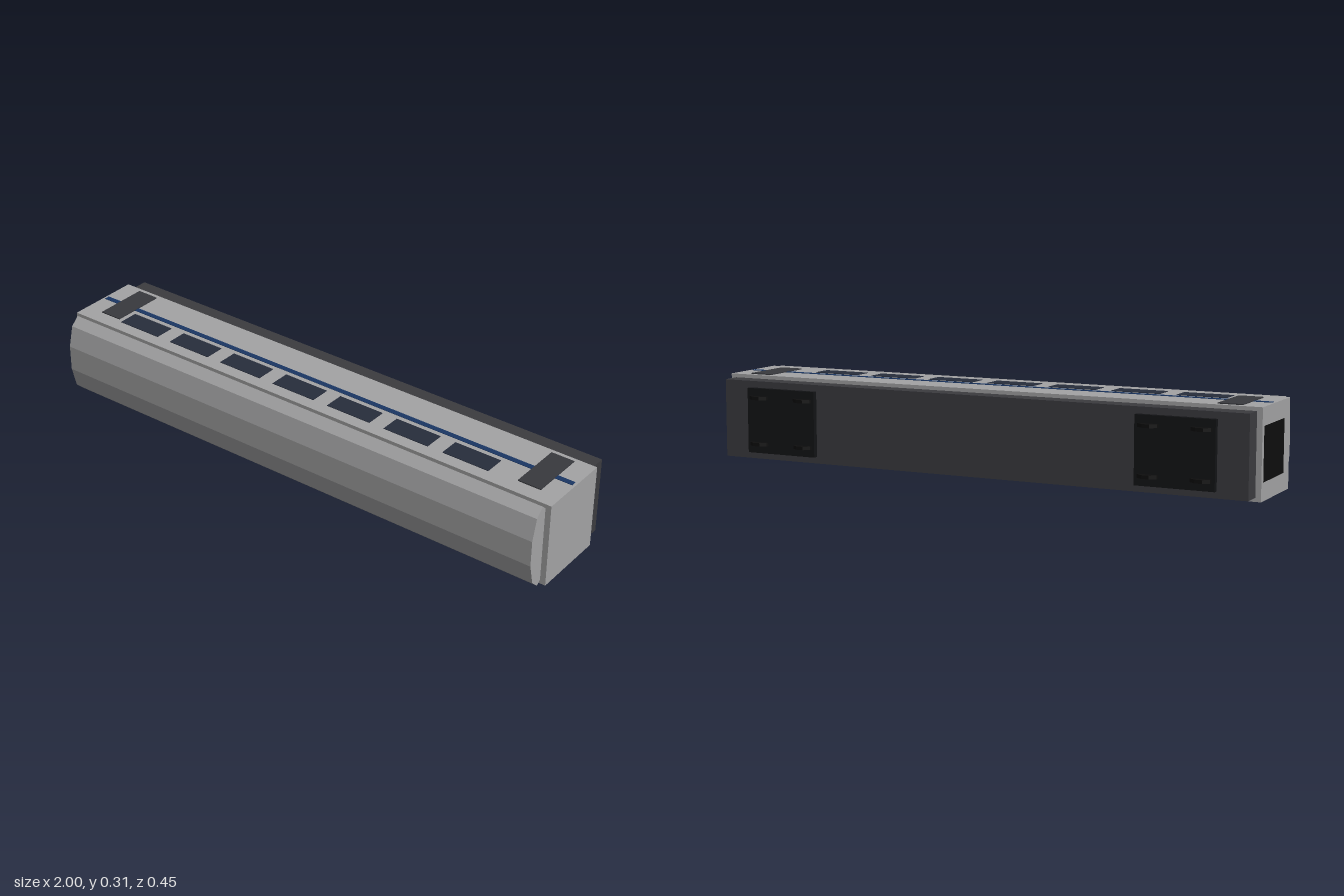
import * as THREE from 'three';

const CY = 0.1545; // height of the car's centre line; the car lies on its side, roof towards +z

const mat = (color) => new THREE.MeshStandardMaterial({ color, flatShading: true });

export function createModel() {
  const car = new THREE.Group();
  car.name = 'passengerCar';

  const shell = mat(0xa3a3a4);
  const frame = mat(0x3b3b3f);
  const bogie = mat(0x131416);
  const black = mat(0x0e0e0e);
  const glass = mat(0x272d3b);
  const doorGrey = mat(0x38393e);
  const blue = mat(0x1a3663);

  // Box given by its x, y and z ranges, y measured from the centre line
  function box(name, material, [x0, x1], [y0, y1], [z0, z1], parent = car) {
    const mesh = new THREE.Mesh(new THREE.BoxGeometry(x1 - x0, y1 - y0, z1 - z0), material);
    mesh.position.set((x0 + x1) / 2, CY + (y0 + y1) / 2, (z0 + z1) / 2);
    mesh.name = name;
    parent.add(mesh);
  }

  // Body and underframe
  box('body', shell, [-0.999, 1], [-0.151, 0.151], [-0.116, 0.157]);
  box('underframe', frame, [-0.98, 0.98], [-0.138, 0.138], [-0.182, -0.11]);

  // Flattened ten-sided roof, with a flat facet facing +z
  const roofGeometry = new THREE.CylinderGeometry(0.151, 0.151, 1.96, 10);
  roofGeometry.rotateZ(Math.PI / 2);
  roofGeometry.rotateX(Math.PI / 2);
  roofGeometry.scale(1, 1, 0.35);
  const roof = new THREE.Mesh(roofGeometry, shell);
  roof.position.set(0, CY, 0.173);
  roof.name = 'roof';
  car.add(roof);

  // Windows, doors and stripe on both long sides
  for (const side of [-1, 1]) {
    const range = (out) => (side > 0 ? [0.14, out] : [-out, -0.14]);
    const group = new THREE.Group();
    group.name = side > 0 ? 'upperSideDetails' : 'lowerSideDetails';
    car.add(group);
    for (let i = 0; i < 7; i++) {
      const x = -0.737 + i * 0.2317;
      box('window', glass, [x - 0.087, x + 0.087], range(0.1528), [0.038, 0.112], group);
    }
    for (const x of [-0.885, 0.885]) {
      box('door', doorGrey, [x - 0.042, x + 0.042], range(0.1545), [-0.098, 0.101], group);
    }
    box('stripe', blue, [-0.99, 0.99], range(0.1524), [-0.001, 0.019], group);
  }

  // Gangway panel on the left-hand end of the car
  box('gangway', black, [-1, -0.98], [-0.09, 0.09], [-0.098, 0.1]);

  // Bogies with four wheels each
  const wheelGeometry = new THREE.CylinderGeometry(0.042, 0.042, 0.012, 10);
  wheelGeometry.rotateY(Math.PI / 10);
  for (const x of [-0.738, 0.738]) {
    const group = new THREE.Group();
    group.name = 'bogie';
    car.add(group);
    box('bogieFrame', bogie, [x - 0.137, x + 0.137], [-0.115, 0.115], [-0.2, -0.17], group);
    for (const dx of [-0.09, 0.09]) {
      for (const dy of [-0.082, 0.082]) {
        const wheel = new THREE.Mesh(wheelGeometry, black);
        wheel.position.set(x + dx, CY + dy, -0.182);
        wheel.name = 'wheel';
        group.add(wheel);
      }
    }
  }

  return car;
}
